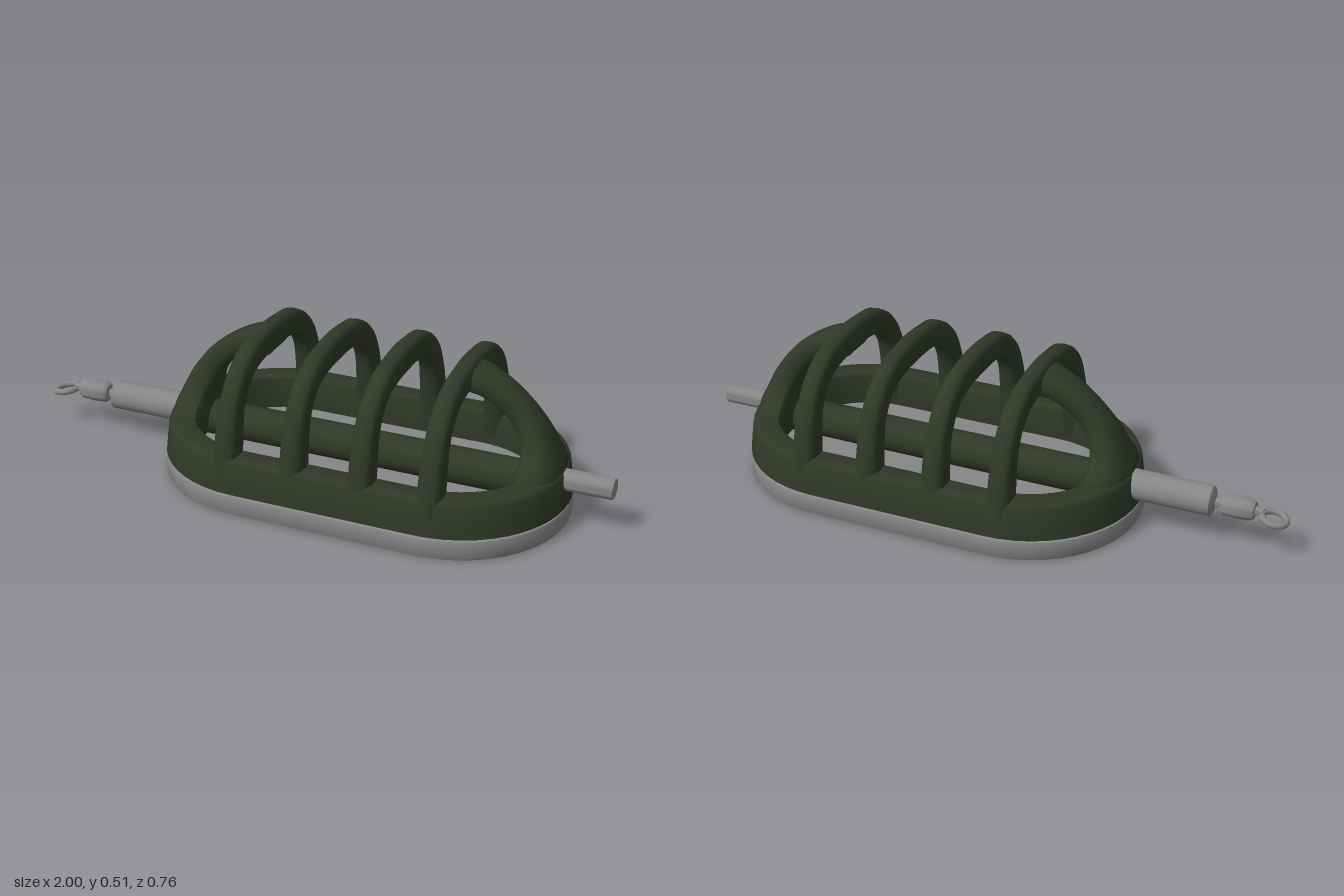
import * as THREE from 'three';
import { toCreasedNormals } from 'three/addons/utils/BufferGeometryUtils.js';

const green = new THREE.MeshStandardMaterial({ color: 0x303826 });
green.name = 'dark olive';
const grey = new THREE.MeshStandardMaterial({ color: 0x868686 });
grey.name = 'lead grey';

const CX = 0.175, HALF = 0.305; // centre and half straight length of the oval

// Skin a list of closed rings; flips the winding when it would be inside out.
function loft(rings, closed = false) {
  const n = rings[0].length, m = rings.length, pos = [], idx = [];
  rings.forEach(r => r.forEach(p => pos.push(p.x, p.y, p.z)));
  for (let i = 0; i < (closed ? m : m - 1); i++) {
    for (let j = 0; j < n; j++) {
      const a = i * n + j, b = i * n + (j + 1) % n;
      const c = ((i + 1) % m) * n + (j + 1) % n, d = ((i + 1) % m) * n + j;
      idx.push(a, b, c, a, c, d);
    }
  }
  if (!closed) {
    for (let j = 1; j < n - 1; j++) {
      const e = (m - 1) * n;
      idx.push(0, j + 1, j, e, e + j, e + j + 1);
    }
  }
  let volume = 0;
  const v = k => new THREE.Vector3().fromArray(pos, idx[k] * 3);
  for (let k = 0; k < idx.length; k += 3) volume += v(k).dot(v(k + 1).cross(v(k + 2)));
  if (volume < 0) idx.reverse();
  const g = new THREE.BufferGeometry();
  g.setAttribute('position', new THREE.Float32BufferAttribute(pos, 3));
  g.setIndex(idx);
  return toCreasedNormals(g, 0.7);
}

// Oval outline of end radius r
function oval(r, y) {
  const pts = [];
  for (let s = 0; s < 2; s++) {
    for (let i = 0; i <= 24; i++) {
      const a = -Math.PI / 2 + Math.PI * (s + i / 24);
      pts.push(new THREE.Vector3(CX + (s ? -HALF : HALF) + r * Math.cos(a), y, r * Math.sin(a)));
    }
  }
  return pts;
}

// Rounded bar through stations [outerU, outerV, innerU, innerV, halfWidth]
function bar(stations, map) {
  const spline = k => new THREE.CatmullRomCurve3(stations.map(s => new THREE.Vector3(s[k], s[k + 1], s[4])));
  const outer = spline(0), inner = spline(2), steps = (stations.length - 1) * 3, rings = [];
  const soft = t => Math.sign(t) * Math.abs(t) ** 0.65;
  for (let i = 0; i <= steps; i++) {
    const o = outer.getPoint(i / steps), n = inner.getPoint(i / steps), ring = [];
    for (let j = 0; j < 16; j++) {
      const a = j / 16 * Math.PI * 2, f = (1 + soft(Math.cos(a))) / 2;
      ring.push(map(n.x + (o.x - n.x) * f, n.y + (o.y - n.y) * f, o.z * soft(Math.sin(a))));
    }
    rings.push(ring);
  }
  return loft(rings);
}

export function createModel() {
  const model = new THREE.Group();
  const add = (name, geometry, material) => {
    const mesh = new THREE.Mesh(geometry, material);
    mesh.name = name;
    model.add(mesh);
    return mesh;
  };
  // Turned part along x from [radius, x] points
  const turned = (name, pts, y, material) => {
    const g = new THREE.LatheGeometry(pts.map(p => new THREE.Vector2(p[0], p[1])), 24).rotateZ(-Math.PI / 2);
    add(name, toCreasedNormals(g, 0.6), material).position.y = y;
  };

  // Flat weight under the cage
  add('weightPlate', loft([[0.37, 0], [0.377, 0.003], [0.38, 0.01], [0.38, 0.058],
    [0.377, 0.066], [0.37, 0.069]].map(p => oval(p[0], p[1]))), grey);
  add('plateJoint', loft([oval(0.36, 0.06), oval(0.36, 0.072)]), grey);

  // Oval rim of the cage
  add('cageRim', loft([[0.379, 0.074], [0.374, 0.12], [0.366, 0.175], [0.36, 0.186], [0.35, 0.19],
    [0.292, 0.19], [0.283, 0.186], [0.279, 0.175], [0.279, 0.074]].map(p => oval(p[0], p[1])), true), green);

  // Four arches across the cage
  const side = [
    [0.373, 0.1, 0.275, 0.1, 0.041], [0.364, 0.19, 0.266, 0.19, 0.04],
    [0.35, 0.27, 0.256, 0.27, 0.038], [0.33, 0.335, 0.24, 0.33, 0.036],
    [0.3, 0.395, 0.215, 0.367, 0.035], [0.25, 0.45, 0.185, 0.393, 0.034],
    [0.175, 0.493, 0.14, 0.411, 0.033], [0.09, 0.508, 0.08, 0.42, 0.032]];
  const arch = [...side, [0, 0.515, 0, 0.422, 0.032],
    ...side.map(([a, b, c, d, w]) => [-a, b, -c, d, w]).reverse()];
  [-0.165, 0.06, 0.29, 0.515].forEach((x, i) =>
    add('arch' + (i + 1), bar(arch, (u, v, w) => new THREE.Vector3(x + w, v, u)), green));

  // Curved end ribs, flared at the foot and following the round of the rim
  const rib = [
    [-0.02, 0.505, -0.02, 0.42, 0.088], [0.06, 0.487, 0.05, 0.41, 0.07], [0.14, 0.447, 0.11, 0.375, 0.058],
    [0.21, 0.39, 0.155, 0.33, 0.055], [0.265, 0.32, 0.185, 0.275, 0.072],
    [0.3, 0.25, 0.2, 0.235, 0.105], [0.326, 0.19, 0.205, 0.19, 0.155], [0.335, 0.1, 0.21, 0.1, 0.17]];
  for (const s of [-1, 1]) {
    add(s < 0 ? 'rightEndRib' : 'leftEndRib', bar(rib, (u, v, w) =>
      new THREE.Vector3(CX + s * (0.34 + u - w * w / 0.74), v, w)), green);
  }

  // Core tube through the cage and the rod leaving it
  turned('coreTube', [[0, -0.49], [0.06, -0.49], [0.06, 0.83], [0, 0.83]], 0.13, green);
  turned('rod', [[0, 0.7], [0.035, 0.7], [0.035, 0.997], [0.032, 1], [0, 1]], 0.155, grey);

  // Sleeve with ragged olive patches
  const sleeve = new THREE.CylinderGeometry(0.05, 0.05, 0.27, 36, 27, true).rotateZ(Math.PI / 2).translate(-0.615, 0.14, 0);
  const p = sleeve.attributes.position, src = sleeve.index.array, parts = [[], []];
  for (let k = 0; k < src.length; k += 6) {
    const quad = Array.from(src.slice(k, k + 6));
    const mid = f => quad.reduce((t, i) => t + f(i), 0) / 6;
    const x = mid(i => p.getX(i)), a = Math.atan2(mid(i => p.getZ(i)), mid(i => p.getY(i)) - 0.14);
    const edge = -0.555 + 0.025 * Math.sin(a * 2 + 1);
    const patch = a > -0.1 + 0.2 * Math.sin(x * 60) && a < 0.75 + 0.3 * Math.sin(x * 45) && x > -0.72 + 0.05 * a;
    parts[x > edge || patch ? 1 : 0].push(...quad);
  }
  sleeve.setIndex([...parts[0], ...parts[1]]);
  sleeve.addGroup(0, parts[0].length, 0);
  sleeve.addGroup(parts[0].length, parts[1].length, 1);
  add('sleeve', sleeve, [grey, green]);

  // Swivel: sleeve cap, neck, barrel and shank in one turning
  turned('swivel', [[0, -0.915], [0.012, -0.915], [0.014, -0.89], [0.028, -0.888], [0.035, -0.875], [0.037, -0.83],
    [0.035, -0.79], [0.028, -0.78], [0.016, -0.776], [0.016, -0.762], [0.04, -0.755], [0.05, -0.749], [0.05, -0.748]], 0.138, grey);
  const eye = add('swivelEye', new THREE.TorusGeometry(0.039, 0.011, 10, 28).rotateX(Math.PI / 2), grey);
  eye.position.set(-0.95, 0.124, 0);
  eye.rotation.z = 0.18;

  return model;
}
